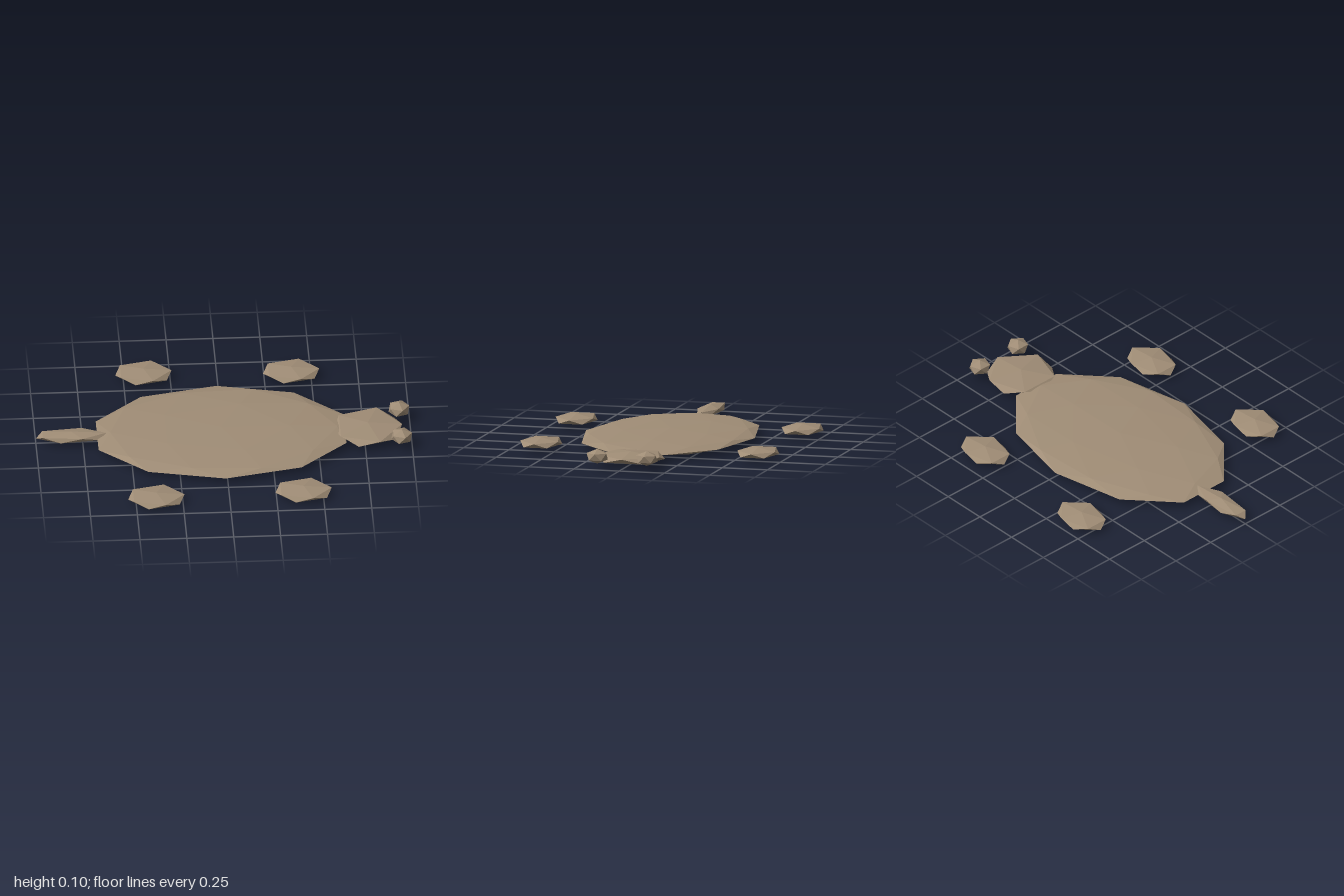
import * as THREE from 'three';

// Icosphere standing on a vertex, with a ring vertex pointing along +x
function icosphere(detail) {
  const v = [0, 1, 0];
  const h = 1 / Math.sqrt(5), r = 2 * h;
  for (const [offset, y] of [[0, h], [Math.PI / 5, -h]]) {
    for (let k = 0; k < 5; k++) {
      const a = offset + (k * Math.PI * 2) / 5;
      v.push(r * Math.cos(a), y, -r * Math.sin(a));
    }
  }
  v.push(0, -1, 0);
  const f = [];
  for (let k = 0; k < 5; k++) {
    const n = (k + 1) % 5;
    f.push(0, 1 + k, 1 + n, 1 + k, 6 + k, 1 + n);
    f.push(6 + k, 6 + n, 1 + n, 11, 6 + n, 6 + k);
  }
  return new THREE.PolyhedronGeometry(v, f, 1, detail);
}

export function createModel() {
  const group = new THREE.Group();
  const material = new THREE.MeshStandardMaterial({ color: 0xa08d76, flatShading: true });

  function blob(name, position, radii, detail = 0) {
    const geometry = icosphere(detail);
    geometry.scale(...radii);
    const mesh = new THREE.Mesh(geometry, material);
    mesh.name = name;
    mesh.position.set(...position);
    group.add(mesh);
  }

  // Flat body, head and tail along x
  blob('body', [-0.012, 0.035, 0], [0.695, 0.035, 0.467], 1);
  blob('head', [0.77, 0.04, 0], [0.205, 0.03, 0.205]);
  blob('tail', [-0.812, 0.041, 0], [0.21, 0.026, 0.067]);

  // Paired feet and eyes on both sides
  for (const s of [1, -1]) {
    blob('frontFoot', [0.395, 0.031, s * 0.6], [0.168, 0.027, 0.122]);
    blob('backFoot', [-0.392, 0.031, s * 0.625], [0.168, 0.027, 0.122]);
    blob('eye', [0.944, 0.065, s * 0.137], [0.062, 0.04, 0.064]);
  }
  return group;
}
